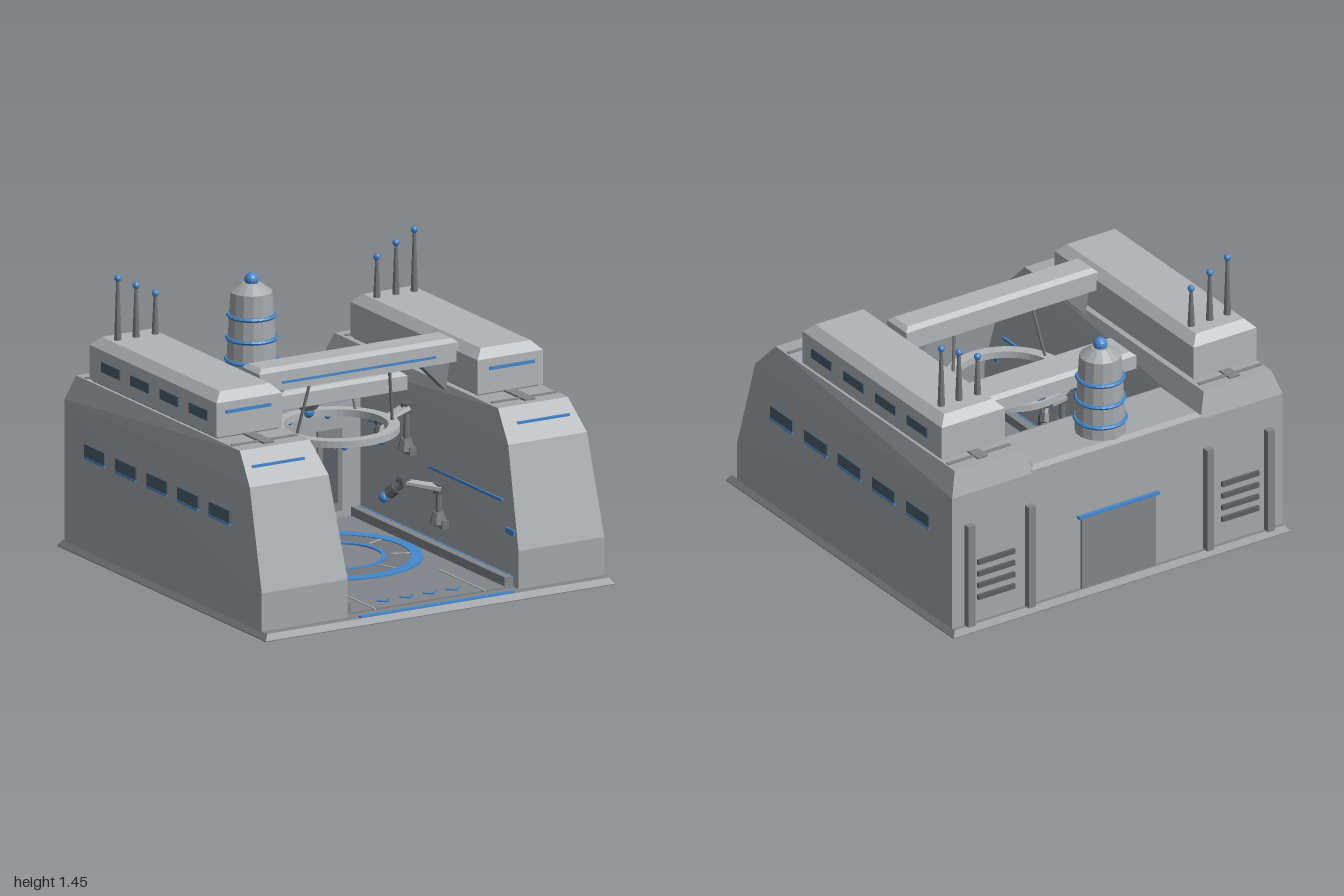
import * as THREE from 'three';
import { ConvexGeometry } from 'three/addons/geometries/ConvexGeometry.js';

const paint = (color) => new THREE.MeshStandardMaterial({ color, flatShading: true });
const hull = paint(0xa5a7aa);
const plate = paint(0xb2b4b6);
const floor = paint(0x828589);
const dark = paint(0x74777b);
const deep = paint(0x5c5f64);
const blue = paint(0x4488cc);
const glass = paint(0x4c5e70);

export function createModel() {
  const model = new THREE.Group();
  const v = (x, y, z) => new THREE.Vector3(x, y, z);

  function add(name, geometry, mat = hull, x = 0, y = 0, z = 0) {
    const mesh = new THREE.Mesh(geometry, mat);
    mesh.name = name;
    mesh.position.set(x, y, z);
    model.add(mesh);
    return mesh;
  }
  const box = (name, x, y, z, w, h, d, mat) => add(name, new THREE.BoxGeometry(w, h, d), mat, x, y, z);
  const ball = (name, r, x, y, z) => add(name, new THREE.SphereGeometry(r, 12, 8), blue, x, y, z);

  // Box whose top edges are chamfered: inset c over the height h
  function capped(name, x, z, w, d, y0, y1, c, h, mat = plate) {
    const pts = [];
    for (const sx of [-1, 1]) for (const sz of [-1, 1]) {
      pts.push(v(sx * w / 2, y0, sz * d / 2), v(sx * w / 2, y1 - h, sz * d / 2),
        v(sx * (w / 2 - c), y1, sz * (d / 2 - c)));
    }
    return add(name, new ConvexGeometry(pts), mat, x, 0, z);
  }
  // Tapered bar between two points
  function bar(name, a, b, r0, r1 = r0, sides = 8, mat = dark) {
    const mesh = add(name, new THREE.CylinderGeometry(r1, r0, a.distanceTo(b), sides), mat);
    mesh.position.copy(a).lerp(b, 0.5);
    mesh.quaternion.setFromUnitVectors(v(0, 1, 0), b.clone().sub(a).normalize());
    return mesh;
  }
  // Flat horizontal ring of height h standing on y
  function flatRing(name, outer, inner, y, h, mat) {
    const shape = new THREE.Shape().absarc(0, 0, outer, 0, Math.PI * 2);
    shape.holes.push(new THREE.Path().absarc(0, 0, inner, 0, Math.PI * 2, true));
    const g = new THREE.ExtrudeGeometry(shape, { depth: h, bevelEnabled: false, curveSegments: 28 });
    return add(name, g.rotateX(-Math.PI / 2), mat, 0, y, 0);
  }

  // Base plate and hangar floor
  capped('basePlate', 0, 0, 2, 2, 0, 0.035, 0.02, 0.03, floor);
  box('floorPlate', 0, 0.038, 0.14, 0.98, 0.012, 1.5, floor);
  box('thresholdLight', 0, 0.037, 0.965, 0.88, 0.012, 0.026, blue);
  flatRing('padOuterRing', 0.43, 0.37, 0.04, 0.012, blue);
  flatRing('padMiddleRing', 0.37, 0.25, 0.04, 0.008, dark);
  flatRing('padInnerRing', 0.25, 0.225, 0.04, 0.012, blue);
  for (let i = 0; i < 8; i++) {
    const a = (i + 0.5) * Math.PI / 4;
    box('padSpoke', 0.32 * Math.cos(a), 0.048, 0.32 * Math.sin(a), 0.1, 0.006, 0.012, hull).rotation.y = -a;
  }
  for (const x of [-0.2, -0.067, 0.067, 0.2]) for (const s of [-1, 1]) {
    box('floorChevron', x + s * 0.018, 0.046, 0.8, 0.054, 0.008, 0.012, blue).rotation.y = s * 0.8;
  }

  // Rear block between the wings
  capped('rearBlock', 0, -0.775, 1.02, 0.37, 0.03, 0.79, 0.03, 0.015, hull);
  box('rearDoor', 0, 0.23, -0.965, 0.44, 0.39, 0.02, floor);
  box('rearDoorLight', 0, 0.435, -0.97, 0.48, 0.014, 0.022, blue);
  box('innerWallLight', 0, 0.387, -0.588, 0.5, 0.016, 0.01, blue);
  box('innerWallLowLight', 0, 0.195, -0.588, 0.35, 0.014, 0.01, blue);

  // Control tower on the rear block
  const tz = -0.81;
  const profile = [[0, 0.76], [0.13, 0.76], [0.105, 1.2], [0.105, 1.205], [0.045, 1.25], [0, 1.25]];
  add('tower', new THREE.LatheGeometry(profile.map(([r, y]) => new THREE.Vector2(r, y)), 14), hull, 0, 0, tz);
  ball('towerBeacon', 0.036, 0, 1.265, tz);
  [[0.86, 0.126], [0.97, 0.12], [1.085, 0.114]].forEach(([y, r]) =>
    add('towerBand', new THREE.TorusGeometry(r, 0.011, 6, 24).rotateX(Math.PI / 2), blue, 0, y, tz));

  // Overhead beams
  capped('frontBeam', 0, 0.135, 1.14, 0.17, 1.015, 1.133, 0.025, 0.02);
  box('frontBeamLight', 0, 1.055, 0.221, 0.88, 0.012, 0.008, blue);
  capped('middleBeam', 0, -0.27, 1.01, 0.22, 0.785, 0.875, 0.022, 0.018);
  box('middleBeamLight', 0, 0.781, -0.2, 0.8, 0.012, 0.03, blue);
  add('lampMount', new THREE.CylinderGeometry(0.075, 0.045, 0.05, 8), dark, 0, 0.762, -0.27);
  ball('hangingLamp', 0.034, 0, 0.722, -0.27);

  // Suspended ring with small lights below
  flatRing('suspendedRing', 0.315, 0.258, 0.69, 0.035, plate);
  for (let i = 0; i < 8; i++) {
    const a = (i + 0.5) * Math.PI / 4;
    ball('ringLight', 0.016, 0.286 * Math.cos(a), 0.685, 0.286 * Math.sin(a));
  }

  // One articulated work arm: shoulder, elbow and tool tip
  function workArm(s, mountY, shoulder, elbow, tip) {
    const [a, b, c] = [shoulder, elbow, tip].map(([x, y, z]) => v(s * x, y, z));
    const x = s * 0.462, z = a.z;
    box('armBracket', s * 0.485, mountY, z, 0.06, 0.04, 0.1, dark);
    add('armPedestal', new THREE.CylinderGeometry(0.028, 0.046, 0.06, 8), dark, x, mountY + 0.03, z);
    bar('armPost', v(x, mountY + 0.04, z), a, 0.016);
    add('shoulderJoint', new THREE.CylinderGeometry(0.03, 0.03, 0.05, 10), deep, a.x, a.y, a.z);
    for (const o of [-0.018, 0.018]) {
      const shift = v(0, 0, o);
      bar('upperArm', a.clone().add(shift), b.clone().add(shift), 0.02, 0.015, 6, hull);
    }
    add('elbowJoint', new THREE.CylinderGeometry(0.027, 0.027, 0.06, 10).rotateX(Math.PI / 2), deep, b.x, b.y, b.z);
    bar('forearm', b, c, 0.024, 0.018);
    bar('toolCollar', b.clone().lerp(c, 0.4), b.clone().lerp(c, 0.75), 0.031, 0.031, 8, deep);
    ball('toolTip', 0.027, c.x, c.y, c.z);
  }

  for (const s of [-1, 1]) {
    // Wing hull: rows of z, y, inner x, outer x
    const rows = [
      [0.93, 0.03, 0.49, 0.982], [0.93, 0.23, 0.49, 0.982], [0.79, 0.735, 0.515, 0.967],
      [0.65, 0.885, 0.54, 0.94], [-0.92, 0.885, 0.54, 0.94], [-0.96, 0.76, 0.495, 0.982],
      [-0.96, 0.03, 0.495, 0.982],
    ];
    add('wing', new ConvexGeometry(rows.flatMap(([z, y, a, b]) => [v(s * a, y, z), v(s * b, y, z)])));
    box('wingFrontLight', s * 0.76, 0.815, 0.716, 0.3, 0.012, 0.012, blue);

    // Upper deck house
    box('deckPlinth', s * 0.748, 0.888, -0.19, 0.35, 0.016, 1.19, dark);
    capped('deckHouse', s * 0.748, -0.19, 0.375, 1.22, 0.895, 1.115, 0.045, 0.045);
    box('deckFrontLight', s * 0.755, 1.02, 0.422, 0.26, 0.016, 0.012, blue);
    for (const z of [0.25, -0.03, -0.31, -0.59]) {
      box('deckWindow', s * 0.935, 0.988, z, 0.014, 0.052, 0.175, glass);
    }

    // Side windows with lit sills
    for (const z of [0.53, 0.23, -0.065, -0.365, -0.665]) {
      box('sideWindow', s * 0.972, 0.547, z, 0.036, 0.066, 0.195, glass);
      box('sideWindowSill', s * 0.973, 0.51, z, 0.04, 0.01, 0.195, blue);
    }

    // Roof ducts at both ends of the deck house
    box('roofDuct', s * 0.748, 0.884, 0.5, 0.06, 0.02, 0.22, floor);
    box('roofDuct', s * 0.748, 0.884, -0.83, 0.06, 0.02, 0.11, floor);
    for (const z of [0.555, -0.845]) {
      box('roofPipe', s * 0.745, 0.883, z, 0.37, 0.016, 0.02, floor);
    }

    // Antennas
    [[0.635, 1.322], [0.745, 1.378], [0.85, 1.43]].forEach(([x, top]) => {
      bar('antenna', v(s * x, 1.11, -0.67), v(s * x, top, -0.67), 0.019, 0.008);
      ball('antennaTip', 0.018, s * x, top, -0.67);
    });

    // Rear ribs and vent slats
    for (const x of [0.53, 0.89]) box('rearRib', s * x, 0.315, -0.975, 0.04, 0.56, 0.045, floor);
    for (let i = 0; i < 4; i++) box('ventSlat', s * 0.725, 0.17 + i * 0.065, -0.966, 0.22, 0.025, 0.02, deep);

    // Inner wall lights, floor rail and guide line
    box('innerStrip', s * 0.496, 0.45, 0.42, 0.016, 0.014, 0.7, blue);
    box('innerMarker', s * 0.492, 0.31, 0.85, 0.016, 0.03, 0.08, blue);
    box('floorRail', s * 0.465, 0.06, 0.145, 0.05, 0.06, 1.47, floor);
    box('railLight', s * 0.49, 0.085, 0.145, 0.014, 0.012, 1.47, blue);
    box('floorLine', s * 0.315, 0.044, 0.68, 0.012, 0.008, 0.44, hull);

    // Framed panel on the inner rear wall
    box('wallPanelFrame', s * 0.31, 0.295, -0.585, 0.14, 0.42, 0.025, floor);
    box('wallPanel', s * 0.31, 0.29, -0.575, 0.08, 0.32, 0.02, deep);

    // Beam gusset and ring hangers
    const tri = new THREE.Shape([[0.375, 1.02], [0.55, 1.02], [0.53, 0.86]].map(([x, y]) => new THREE.Vector2(s * x, y)));
    add('beamGusset', new THREE.ExtrudeGeometry(tri, { depth: 0.07, bevelEnabled: false }), floor, 0, 0, 0.1);
    bar('ringHanger', v(s * 0.225, 1.02, 0.135), v(s * 0.275, 0.72, 0.08), 0.008);
    bar('ringHanger', v(s * 0.225, 0.8, -0.22), v(s * 0.22, 0.72, -0.18), 0.008);

    workArm(s, 0.5, [0.465, 0.715, -0.1], [0.31, 0.67, -0.08], [0.265, 0.6, -0.03]);
    workArm(s, 0.2, [0.465, 0.38, 0.21], [0.31, 0.415, 0.13], [0.245, 0.325, 0.05]);
  }
  return model;
}
